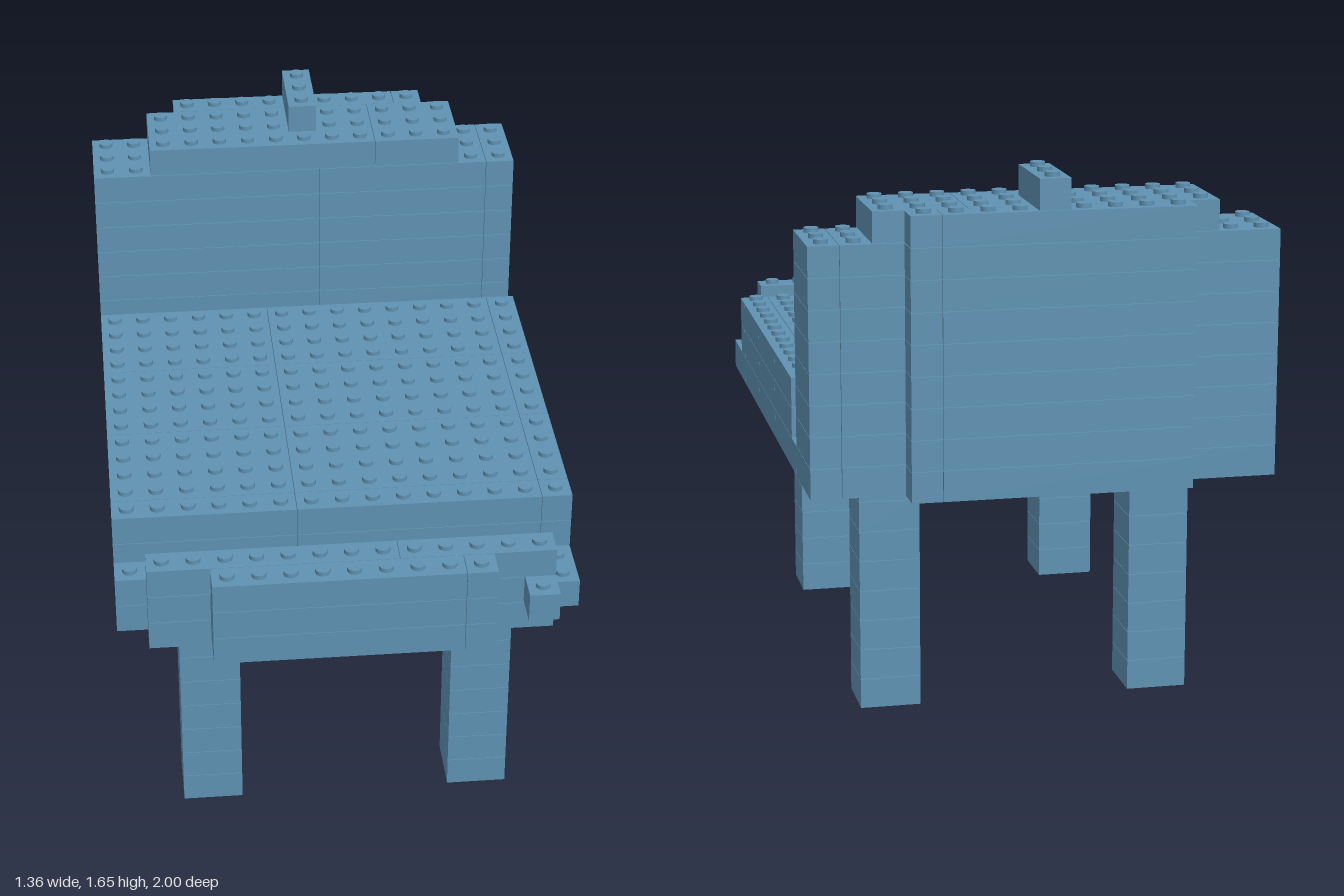
import * as THREE from 'three';
import { mergeGeometries } from 'three/addons/utils/BufferGeometryUtils.js';

const U = 1 / 11;      // one brick cell
const GAP = 0.0016;    // seam between bricks

// Each part is a block in cells: x, y, z ranges, cut into one-cell layers
// and, at the given x and z positions, into separate bricks.
const PARTS = [
  { name: 'bedPlatform', x: [-7.5, 7.5], y: [8, 9], z: [-7, 9], cutX: [-1.5, 6.5], cutZ: [-2, 2, 6] },
  { name: 'mattress', x: [-7.5, 7.5], y: [9, 11], z: [-6, 7], cutX: [-1.5, 6.5], cutZ: [-2, 2, 6] },
  { name: 'headboard', x: [-7.5, 7.5], y: [8, 16], z: [-10, -7], cutX: [0.5, 6.5] },
  { name: 'headboardBackPanel', x: [-4.5, 4.5], y: [8, 17], z: [-11, -10], cutX: [3.5] },
  { name: 'headboardCrown', x: [-5.5, 5.5], y: [16, 17], z: [-10, -7], cutX: [2.5] },
  { name: 'crownFinial', x: [-0.5, 0.5], y: [17, 18], z: [-11, -8] },
  { name: 'footboardStep', x: [-7.5, 5.5], y: [9, 10], z: [8, 9], cutX: [-1.5] },
  { name: 'footboardBase', x: [-6.5, 6.5], y: [8, 9], z: [9, 10], cutX: [-4.5, 4.5] },
  { name: 'footboardMiddle', x: [-6.5, 5.5], y: [9, 10], z: [9, 10], cutX: [-4.5, 4.5] },
  { name: 'footboardTop', x: [-6.5, 6.5], y: [10, 11], z: [9, 10], cutX: [1.5] },
  { name: 'footboardFrontPanel', x: [-4.5, 4.5], y: [8, 11], z: [10, 11], cutX: [3.5] },
  { name: 'footboardSidePeg', x: [5.5, 6.5], y: [9, 10], z: [8, 11] },
];

// Four legs, each with a longer bracket brick on top
for (const [side, x] of [['Right', [-5.5, -3.5]], ['Left', [3.5, 5.5]]]) {
  PARTS.push(
    { name: `front${side}Leg`, x, y: [0, 7], z: [6, 8] },
    { name: `front${side}LegBracket`, x, y: [7, 8], z: [5, 8] },
    { name: `back${side}Leg`, x, y: [0, 7], z: [-7, -5] },
    { name: `back${side}LegBracket`, x, y: [7, 8], z: [-7, -4] },
  );
}

// Box filling a range of cells, shrunk by the seam
function brick(x0, x1, y, z0, z1) {
  return new THREE.BoxGeometry((x1 - x0) * U - GAP, U - GAP, (z1 - z0) * U - GAP)
    .translate((x0 + x1) / 2 * U, (y + 0.5) * U, (z0 + z1) / 2 * U);
}

function bricks({ x, y, z, cutX = [], cutZ = [] }) {
  const xs = [x[0], ...cutX, x[1]], zs = [z[0], ...cutZ, z[1]], out = [];
  for (let l = y[0]; l < y[1]; l++)
    for (let i = 0; i + 1 < xs.length; i++)
      for (let j = 0; j + 1 < zs.length; j++)
        out.push(brick(xs[i], xs[i + 1], l, zs[j], zs[j + 1]));
  return mergeGeometries(out);
}

// Studs on every cell of a part's top that no other part covers
function studs(part) {
  const out = [], top = part.y[1];
  const inside = (p, cx, cz) => cx > p.x[0] && cx < p.x[1] && cz > p.z[0] && cz < p.z[1];
  for (let cx = part.x[0] + 0.5; cx < part.x[1]; cx++)
    for (let cz = part.z[0] + 0.5; cz < part.z[1]; cz++) {
      if (PARTS.some(p => p.y[1] > top && inside(p, cx, cz))) continue;
      out.push(new THREE.CylinderGeometry(0.0215, 0.0215, 0.014, 16)
        .translate(cx * U, top * U + 0.0055, cz * U));
    }
  return out.length ? mergeGeometries(out) : null;
}

export function createModel() {
  const model = new THREE.Group();
  model.name = 'brickBed';
  const blue = new THREE.MeshStandardMaterial({ color: 0x5f92b2 });
  blue.name = 'dusty blue';

  for (const part of PARTS) {
    const group = new THREE.Group();
    group.name = part.name;
    const body = new THREE.Mesh(bricks(part), blue);
    body.name = part.name + 'Bricks';
    group.add(body);
    const studGeometry = studs(part);
    if (studGeometry) {
      const top = new THREE.Mesh(studGeometry, blue);
      top.name = part.name + 'Studs';
      group.add(top);
    }
    model.add(group);
  }
  return model;
}
